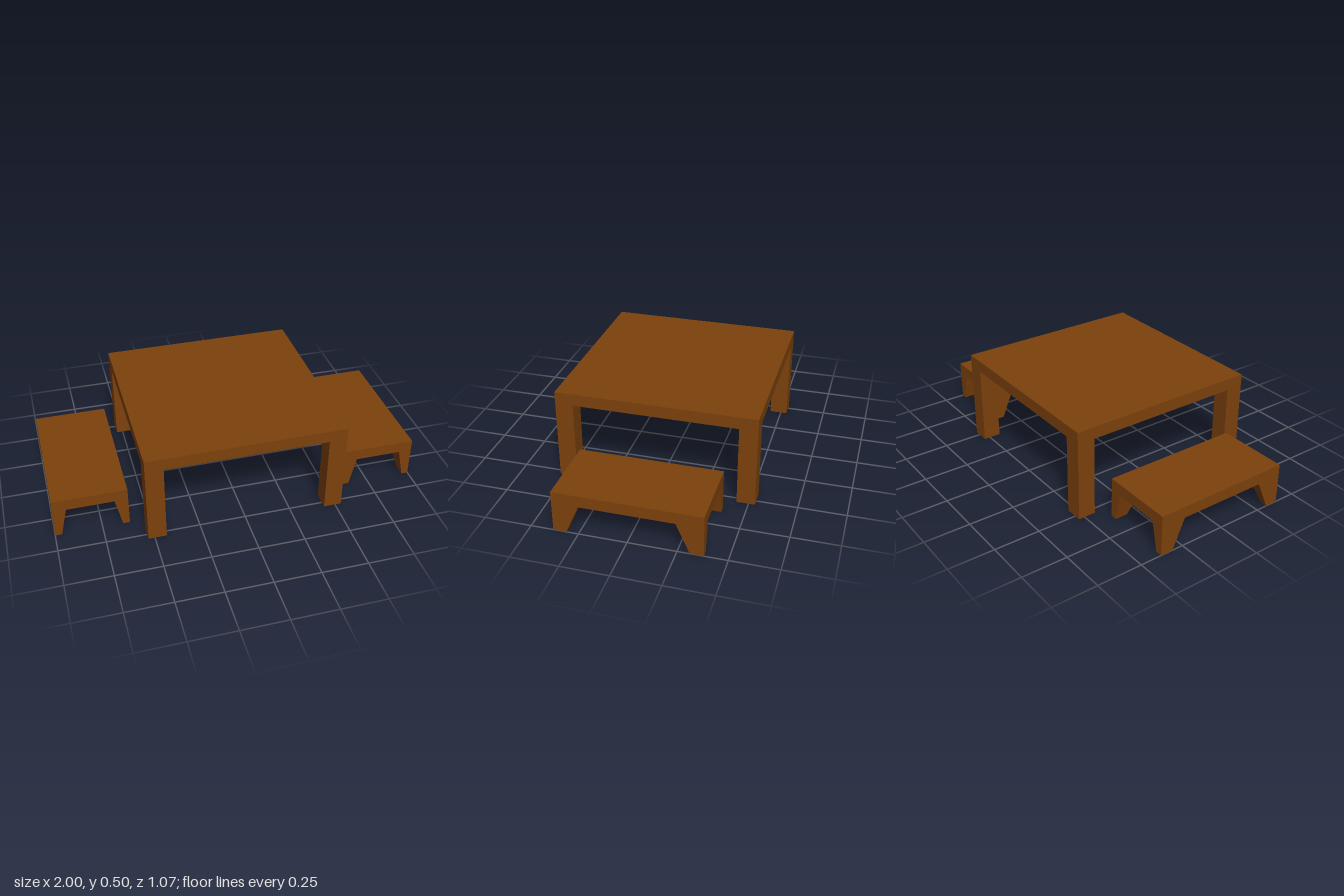
import * as THREE from 'three';

const wood = new THREE.MeshStandardMaterial({ color: 0x7d410c });

// Box slab centred on x and z, spanning y0..y1
function slab(name, w, d, y0, y1) {
  const geo = new THREE.BoxGeometry(w, y1 - y0, d);
  geo.translate(0, (y0 + y1) / 2, 0);
  const mesh = new THREE.Mesh(geo, wood);
  mesh.name = name;
  return mesh;
}

// Corner leg: outer faces stay vertical, inner faces taper towards the foot
function cornerLeg(name, sx, sz, halfW, halfD, w, d, h, taper) {
  const geo = new THREE.BoxGeometry(w, h, d);
  geo.translate(-sx * w / 2, h / 2, -sz * d / 2); // outer corner at the origin
  const p = geo.attributes.position;
  for (let i = 0; i < p.count; i++) {
    const k = p.getY(i) < h / 2 ? taper : 1;
    p.setX(i, p.getX(i) * k);
    p.setZ(i, p.getZ(i) * k);
  }
  geo.computeVertexNormals();
  const mesh = new THREE.Mesh(geo, wood);
  mesh.name = name;
  mesh.position.set(sx * halfW, 0, sz * halfD);
  return mesh;
}

// A top with four legs flush with its corners
function furniture(name, { w, d, under, top, legW, legD, taper }) {
  const group = new THREE.Group();
  group.name = name;
  group.add(slab(name + 'Top', w, d, under, top));
  for (const sx of [-1, 1]) {
    for (const sz of [-1, 1]) {
      const legName = name + (sz > 0 ? 'Front' : 'Back') + (sx > 0 ? 'Left' : 'Right') + 'Leg';
      group.add(cornerLeg(legName, sx, sz, w / 2, d / 2, legW, legD, under, taper));
    }
  }
  return group;
}

export function createModel() {
  const model = new THREE.Group();
  model.name = 'tableWithBenches';

  // Square table with straight legs
  model.add(furniture('table', {
    w: 1.068, d: 1.068, under: 0.437, top: 0.503, legW: 0.097, legD: 0.097, taper: 1,
  }));

  // A low bench with tapered legs on each side
  for (const side of [-1, 1]) {
    const bench = furniture(side > 0 ? 'leftBench' : 'rightBench', {
      w: 0.396, d: 0.764, under: 0.161, top: 0.224, legW: 0.072, legD: 0.139, taper: 0.5,
    });
    bench.position.x = side * 0.802;
    model.add(bench);
  }
  return model;
}
